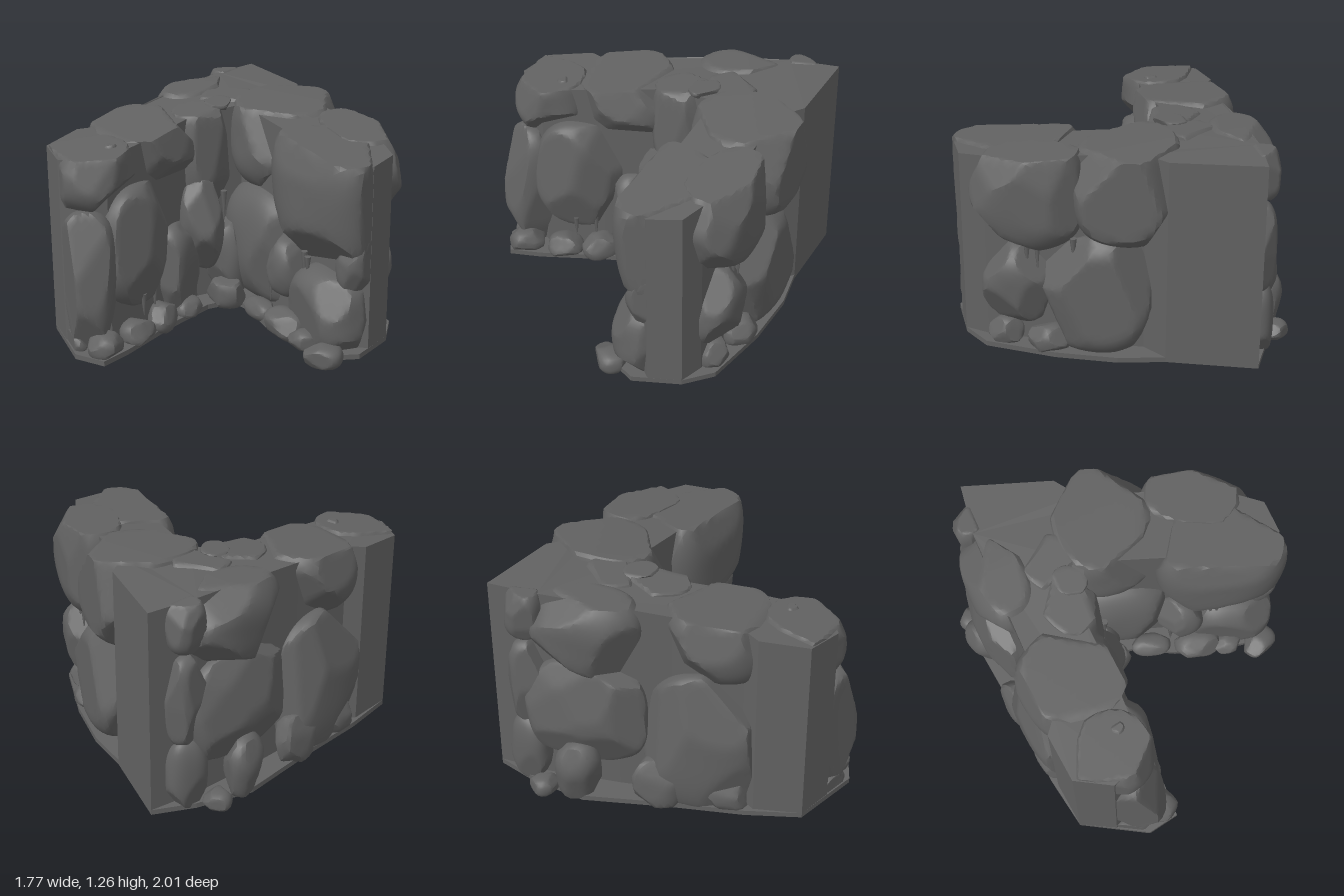
import * as THREE from 'three';
import { toCreasedNormals } from 'three/addons/utils/BufferGeometryUtils.js';

const stone = new THREE.MeshStandardMaterial({ color: 0x626262 });
stone.name = 'dark grey stone';

const BASE = 0.03;

// small seeded random generator
function seeded(seed) {
  let s = (seed * 7919 + 13) % 2147483647;
  const next = () => (s = (s * 16807) % 2147483647) / 2147483647;
  for (let i = 0; i < 5; i++) next();
  return next;
}

// gently sloping wall top, highest at the corner
const topHeight = (x, z) => 1.265 - 0.055 * Math.max(0, x + 0.2) - 0.08 * Math.max(0, z + 0.5);

// vertical planes that trim the wall: normal x, normal z, distance
const trims = [
  [0.486, -0.874, 0.685],
  [-0.64, 0.77, 1.105],
  [0.99, 0.15, 0.866],
];

function addMesh(group, name, geometry) {
  const mesh = new THREE.Mesh(geometry, stone);
  mesh.name = name;
  group.add(mesh);
}

// boulder: rounded block, chipped by random planes, trimmed to the wall
function boulder([x, y, z, rx, ry, rz, turn = 0], seed, detail, floor = BASE) {
  const rnd = seeded(seed);
  const geo = new THREE.IcosahedronGeometry(1, detail);
  const chips = [];
  for (let i = 0; i < 11; i++) {
    const n = new THREE.Vector3(rnd() * 2 - 1, (rnd() * 2 - 1) * 0.8, rnd() * 2 - 1).normalize();
    chips.push([n, 0.82 + rnd() * 0.16]);
  }
  const lift = (rnd() - 0.5) * 0.03, tiltX = (rnd() - 0.5) * 0.06, tiltZ = (rnd() - 0.5) * 0.06;
  const phase = rnd() * 6;
  const up = new THREE.Vector3(0, 1, 0);
  const v = new THREE.Vector3();
  const p = geo.attributes.position;
  const power = 2.6;
  for (let i = 0; i < p.count; i++) {
    v.fromBufferAttribute(p, i);
    const norm = Math.abs(v.x) ** power + Math.abs(v.y) ** power + Math.abs(v.z) ** power;
    v.multiplyScalar(norm ** (-1 / power));
    v.multiplyScalar(1 + 0.025 * Math.sin(4 * v.x + phase) * Math.sin(5 * v.y + 2 * v.z + phase));
    for (const [n, d] of chips) {
      const over = v.dot(n) - d;
      if (over > 0) v.addScaledVector(n, -over);
    }
    v.set(v.x * rx, v.y * ry, v.z * rz).applyAxisAngle(up, turn);
    const top = topHeight(x + v.x, z + v.z) + lift + tiltX * v.x + tiltZ * v.z;
    v.set(v.x + x, Math.min(Math.max(v.y + y, floor), top), v.z + z);
    for (const [nx, nz, d] of trims) {
      const over = v.x * nx + v.z * nz - d;
      if (over > 0) { v.x -= nx * over; v.z -= nz * over; }
    }
    p.setXYZ(i, v.x, v.y, v.z);
  }
  return toCreasedNormals(geo, 0.5);
}

// upright prism over a ground outline of [x, z] points
function prism(outline, height, topRule) {
  const shape = new THREE.Shape(outline.map(([x, z]) => new THREE.Vector2(x, -z)));
  const geo = new THREE.ExtrudeGeometry(shape, { depth: height, bevelEnabled: false });
  geo.rotateX(-Math.PI / 2).translate(0, BASE, 0);
  const p = geo.attributes.position;
  if (topRule) {
    for (let i = 0; i < p.count; i++) {
      if (p.getY(i) > BASE + 0.01) p.setY(i, topRule(p.getX(i), p.getZ(i)));
    }
  }
  geo.computeVertexNormals();
  return geo;
}

export function createModel() {
  const model = new THREE.Group();
  model.name = 'cornerRockWall';

  // flat-sided core, visible at the corner and at both wall ends
  addMesh(model, 'wallCore', prism([
    [-0.5, -1], [-0.05, -0.75], [0.02, -0.6], [0.35, -0.42], [0.78, -0.14], [0.88, -0.03],
    [0.852, 0.16], [0.72, 0.2], [0.3, 0], [0, -0.16], [-0.17, -0.25], [-0.34, 0], [-0.39, 0.4],
    [-0.46, 0.75], [-0.58, 0.84], [-0.7, 0.86], [-0.87, 0.72], [-0.85, 0.45], [-0.77, 0.38],
    [-0.71, 0], [-0.67, -0.3], [-0.59, -0.72],
  ], 1, (x, z) => topHeight(x, z) - 0.02));

  // thin ledge of ground under the whole wall
  addMesh(model, 'groundLedge', prism([
    [-0.5, -1], [-0.05, -0.75], [0.2, -0.66], [0.5, -0.48], [0.82, -0.22], [0.88, -0.03],
    [0.84, 0.25], [0.68, 0.36], [0.42, 0.26], [0.2, 0.14], [0, -0.02], [-0.12, -0.06],
    [-0.22, 0.08], [-0.28, 0.4], [-0.32, 0.8], [-0.36, 0.99], [-0.55, 0.99], [-0.87, 0.72],
    [-0.87, 0.4], [-0.83, 0], [-0.8, -0.5], [-0.65, -0.8],
  ], 0.03));

  // x, y, z, half sizes, turn
  const upper = [
    [0.06, 1.04, -0.43, 0.3, 0.36, 0.35, -0.4],
    [0.54, 0.91, 0.04, 0.38, 0.48, 0.23, -0.45],
    [0.57, 0.99, -0.26, 0.32, 0.35, 0.19, -0.6],
    [-0.62, 1.04, 0.69, 0.24, 0.23, 0.22, 0],
    [-0.57, 1.05, 0.24, 0.29, 0.26, 0.3, 0],
    [-0.36, 0.96, -0.1, 0.18, 0.38, 0.2, 0.2],
    [-0.32, 1.02, -0.36, 0.2, 0.28, 0.22, 0.3],
    [-0.59, 1.02, -0.46, 0.19, 0.27, 0.32, -0.15],
    [-0.57, 1.12, -0.8, 0.1, 0.16, 0.11, -0.5],
  ];
  const lower = [
    [0.05, 0.42, -0.25, 0.33, 0.37, 0.24, -0.5],
    [0.6, 0.23, 0.12, 0.26, 0.26, 0.2, -0.5],
    [0.29, 0.41, 0.04, 0.14, 0.18, 0.13, -0.4],
    [0.78, 0.56, 0.12, 0.11, 0.21, 0.15, -0.4],
    [0.25, 0.41, -0.45, 0.33, 0.38, 0.2, -0.6],
    [0.62, 0.42, -0.22, 0.2, 0.25, 0.16, -0.6],
    [-0.55, 0.43, 0.83, 0.17, 0.43, 0.18, 0],
    [-0.42, 0.59, 0.52, 0.14, 0.36, 0.28, 0],
    [-0.38, 0.33, 0.2, 0.13, 0.28, 0.17, 0],
    [-0.29, 0.56, 0.02, 0.13, 0.29, 0.17, 0.4],
    [-0.2, 0.3, -0.14, 0.13, 0.26, 0.14, 0.3],
    [-0.66, 0.55, -0.47, 0.14, 0.33, 0.34, -0.15],
    [-0.75, 0.42, 0.16, 0.13, 0.45, 0.33, -0.1],
    [-0.57, 0.68, -0.8, 0.1, 0.27, 0.12, -0.5],
    [-0.57, 0.22, -0.8, 0.1, 0.24, 0.12, -0.5],
  ];
  const rubble = [
    [0.34, 0.1, 0.17, 0.14, 0.09, 0.1, -0.3],
    [0.1, 0.08, 0.02, 0.12, 0.06, 0.07, -0.5],
    [-0.15, 0.12, -0.02, 0.12, 0.1, 0.09, 0.3],
    [0.5, 0.08, 0.26, 0.09, 0.06, 0.08, 0],
    [-0.42, 0.1, 0.88, 0.1, 0.08, 0.11, 0.4],
    [-0.36, 0.09, 0.64, 0.09, 0.08, 0.11, 0],
    [-0.33, 0.1, 0.42, 0.08, 0.09, 0.12, 0.3],
    [-0.29, 0.08, 0.2, 0.08, 0.06, 0.1, 0],
    [-0.62, 0.08, 0.9, 0.1, 0.06, 0.07, -0.3],
    [0.5, 0.1, -0.38, 0.12, 0.09, 0.09, -0.6],
    [0.7, 0.1, -0.22, 0.1, 0.1, 0.08, -0.6],
    [-0.75, 0.21, -0.52, 0.1, 0.19, 0.13, 0.2],
    [-0.78, 0.16, -0.08, 0.09, 0.17, 0.15, 0],
    [-0.81, 0.12, 0.3, 0.07, 0.11, 0.13, 0],
    [-0.73, 0.08, -0.72, 0.08, 0.06, 0.08, 0.5],
    [-0.52, 1.15, 0.62, 0.04, 0.04, 0.04, 0],
    [-0.3, 1.23, -0.2, 0.08, 0.04, 0.1, 0.5],
  ];
  upper.forEach((r, i) => addMesh(model, 'upperBoulder' + (i + 1), boulder(r, i + 3, 9)));
  lower.forEach((r, i) => addMesh(model, 'lowerBoulder' + (i + 1), boulder(r, i + 31, 9)));
  rubble.forEach((r, i) => addMesh(model, 'rubble' + (i + 1), boulder(r, i + 71, 4)));
  addMesh(model, 'looseStone', boulder([0.67, 0.06, 0.36, 0.11, 0.07, 0.09, 0.3], 95, 5, 0));

  // stone drips hanging below the upper boulders: x, top y, z, length
  const drips = [
    [0.44, 0.56, 0.14, 0.2], [0.47, 0.54, 0.16, 0.13], [0.2, 0.36, 0.08, 0.18],
    [-0.4, 0.92, 0.56, 0.14], [-0.36, 0.32, 0.45, 0.18], [-0.36, 0.3, 0.57, 0.14],
    [-0.18, 0.75, -0.05, 0.2], [0.55, 0.72, -0.35, 0.22], [0.6, 0.7, -0.32, 0.18],
    [0.38, 0.74, -0.46, 0.16],
  ];
  for (const [x, y, z, length] of drips) {
    const cone = new THREE.ConeGeometry(0.02, length, 6);
    cone.rotateX(Math.PI).translate(x, y - length / 2, z);
    addMesh(model, 'stoneDrip', cone);
  }

  return model;
}
